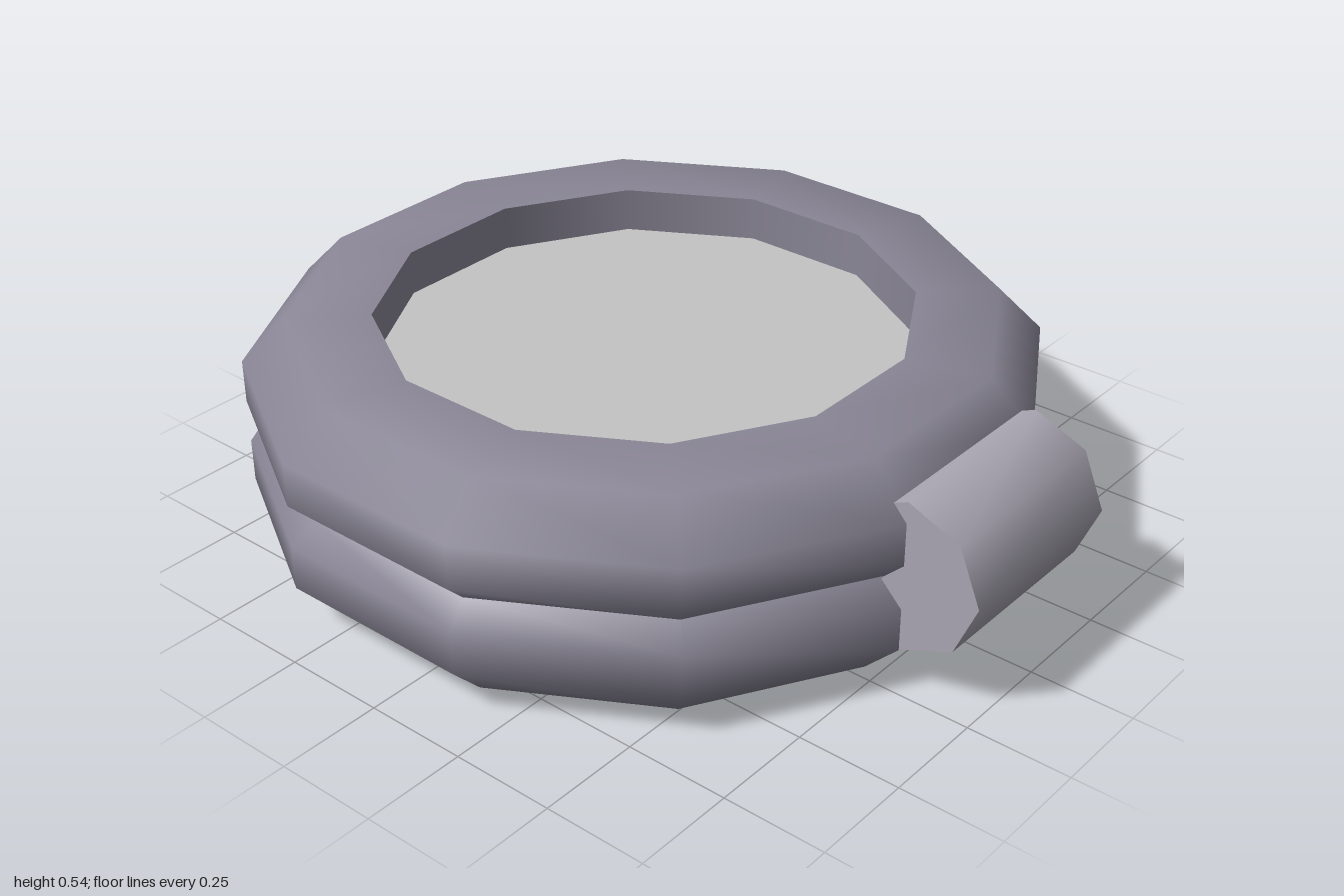
import * as THREE from 'three';
import { toCreasedNormals } from 'three/addons/utils/BufferGeometryUtils.js';

const SIDES = 12;
const CX = -0.093; // body axis
const H = 0.535;

export function createModel() {
  const model = new THREE.Group();
  const shell = new THREE.MeshStandardMaterial({ color: 0x8a8696 });
  shell.name = 'shell mauve grey';
  const trim = new THREE.MeshStandardMaterial({ color: 0xaaa6b3 });
  trim.name = 'hinge light grey';
  const pane = new THREE.MeshStandardMaterial({ color: 0xc4c4c4 });
  pane.name = 'pane grey';

  // Twelve-sided ring; radii are given to the middle of the flats
  const ring = (name, profile, material) => {
    const k = 1 / Math.cos(Math.PI / SIDES);
    const pts = profile.map(([r, y]) => new THREE.Vector2(r * k, y));
    const mesh = new THREE.Mesh(new THREE.LatheGeometry(pts, SIDES, Math.PI / SIDES), material);
    mesh.name = name;
    mesh.position.x = CX;
    model.add(mesh);
  };

  // Two stacked bevelled halves meeting at a notch
  ring('lowerCase', [[0, 0], [0.805, 0], [0.907, 0.108], [0.907, 0.213], [0.853, H / 2]], shell);
  ring('upperCase', [[0.853, H / 2], [0.907, 0.322], [0.907, 0.427], [0.805, H], [0.612, H]], shell);
  // Recess and its floor
  ring('recessWall', [[0.612, H], [0.612, 0.425]], shell);
  ring('pane', [[0.612, 0.425], [0, 0.425]], pane);

  // Hinge barrel: half octagon outside, following the case inside
  const shape = new THREE.Shape();
  const outline = [
    [0.78, 0.464], [0.813, 0.427], [0.813, 0.322], [0.76, H / 2], [0.813, 0.213], [0.813, 0.11],
    [0.945, 0.165], [1, 0.295], [0.945, 0.427], [0.815, 0.48],
  ];
  shape.setFromPoints(outline.map(([x, y]) => new THREE.Vector2(x, y)));
  const barrel = new THREE.ExtrudeGeometry(shape, { depth: 0.486, bevelEnabled: false });
  barrel.translate(0, 0, -0.243);
  const hinge = new THREE.Mesh(toCreasedNormals(barrel, 0.95), trim);
  hinge.name = 'hinge';
  model.add(hinge);

  return model;
}
